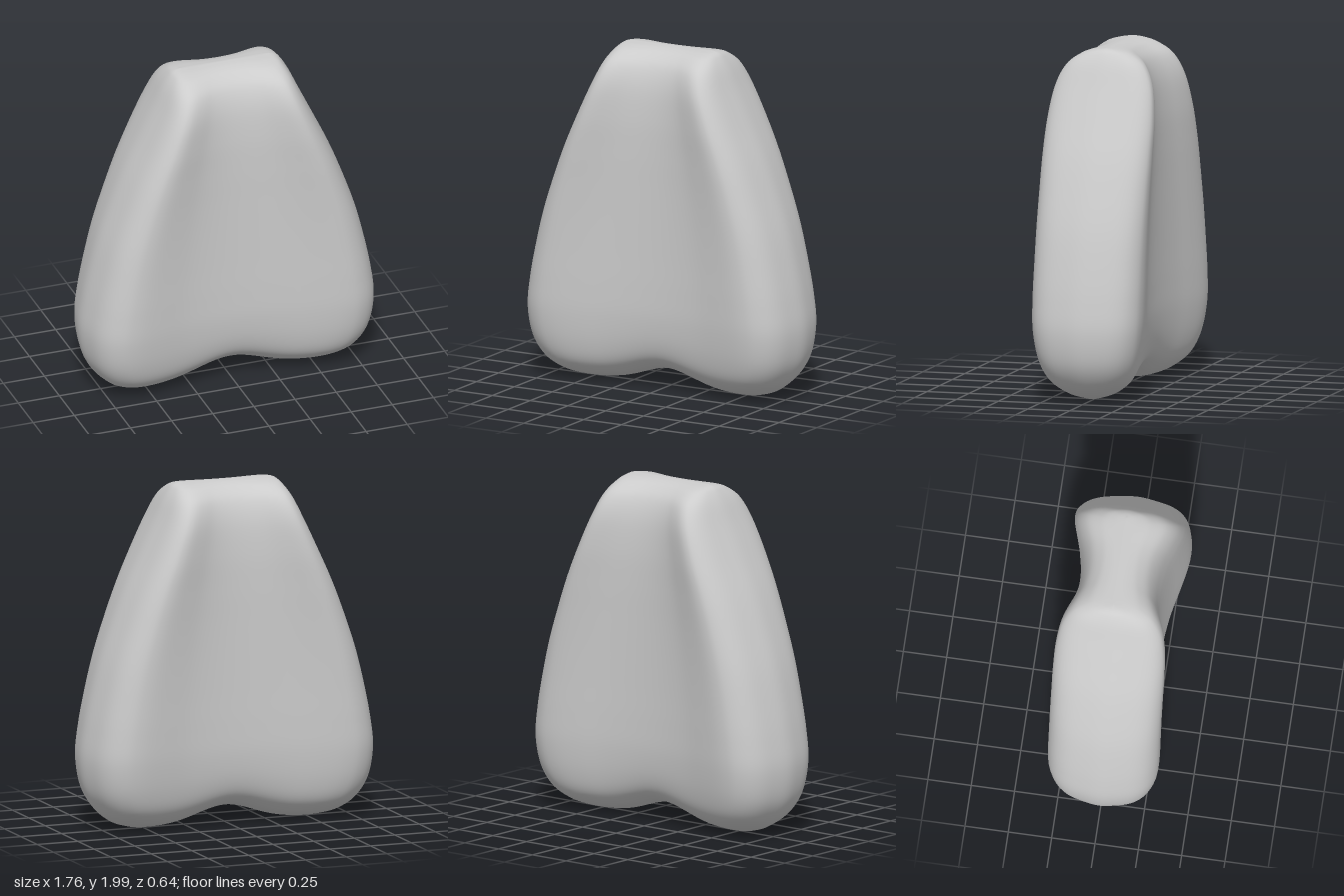
import * as THREE from 'three';
import { mergeVertices } from 'three/addons/utils/BufferGeometryUtils.js';

// One quarter of the waisted cross-section: [share of half width, depth]
const QUARTER = [
  [1, 0], [0.985, 0.1], [0.955, 0.2], [0.9, 0.27], [0.82, 0.311], [0.74, 0.32],
  [0.65, 0.313], [0.53, 0.292], [0.36, 0.26], [0.18, 0.241], [0, 0.235],
];

// Sections from bottom to top: [height, half width, depth scale]
const SECTIONS = [
  [0.005, 0.52, 0], [0.02, 0.6, 0.2], [0.055, 0.7, 0.46], [0.13, 0.79, 0.73],
  [0.25, 0.855, 0.89], [0.42, 0.878, 0.98], [0.6, 0.857, 1], [0.8, 0.815, 1],
  [1, 0.762, 1], [1.2, 0.692, 1], [1.4, 0.612, 1], [1.6, 0.518, 0.98],
  [1.78, 0.432, 0.9], [1.9, 0.376, 0.73], [1.965, 0.335, 0.47], [1.99, 0.306, 0.24], [2, 0.27, 0],
];

// Closed ring mirrored from the quarter
function crossSection(count) {
  const half = [...QUARTER, ...QUARTER.slice(0, -1).reverse().map(([u, z]) => [-u, z])];
  const back = half.slice(1, -1).reverse().map(([u, z]) => [u, -z]);
  const points = [...half, ...back].map(([u, z]) => new THREE.Vector3(u, 0, z));
  const curve = new THREE.CatmullRomCurve3(points, true, 'catmullrom', 0.5);
  return Array.from({ length: count }, (_, i) => curve.getPoint(i / count));
}

function cushionGeometry(around = 120, rows = 96) {
  const ring = crossSection(around);
  const spine = new THREE.CatmullRomCurve3(
    SECTIONS.map(([y, w, d]) => new THREE.Vector3(w, y, d)), false, 'catmullrom', 0.5);
  const positions = [];
  const index = [];

  for (let j = 0; j <= rows; j++) {
    const s = spine.getPoint(j / rows);
    // The notch in the lower edge fades out upwards
    const fade = Math.max(0, 1 - s.y / 0.6) ** 2;
    for (const p of ring) {
      const x = p.x * s.x;
      const notch = 0.1 * Math.exp(-((x / 0.25) ** 2)) * fade;
      positions.push(x, s.y + notch, p.z * s.z);
    }
  }
  for (let j = 0; j < rows; j++) {
    for (let i = 0; i < around; i++) {
      const a = j * around + i;
      const b = j * around + (i + 1) % around;
      index.push(a, a + around, b, b, a + around, b + around);
    }
  }

  const geometry = new THREE.BufferGeometry();
  geometry.setAttribute('position', new THREE.Float32BufferAttribute(positions, 3));
  geometry.setIndex(index);
  // Weld the seams where the first and last rings close to a line
  const welded = mergeVertices(geometry, 1e-4);
  welded.computeVertexNormals();
  return welded;
}

export function createModel() {
  const group = new THREE.Group();
  group.name = 'groovedCushion';
  const body = new THREE.Mesh(cushionGeometry(), new THREE.MeshStandardMaterial({ color: 0xcccccc }));
  body.name = 'body';
  group.add(body);
  return group;
}
